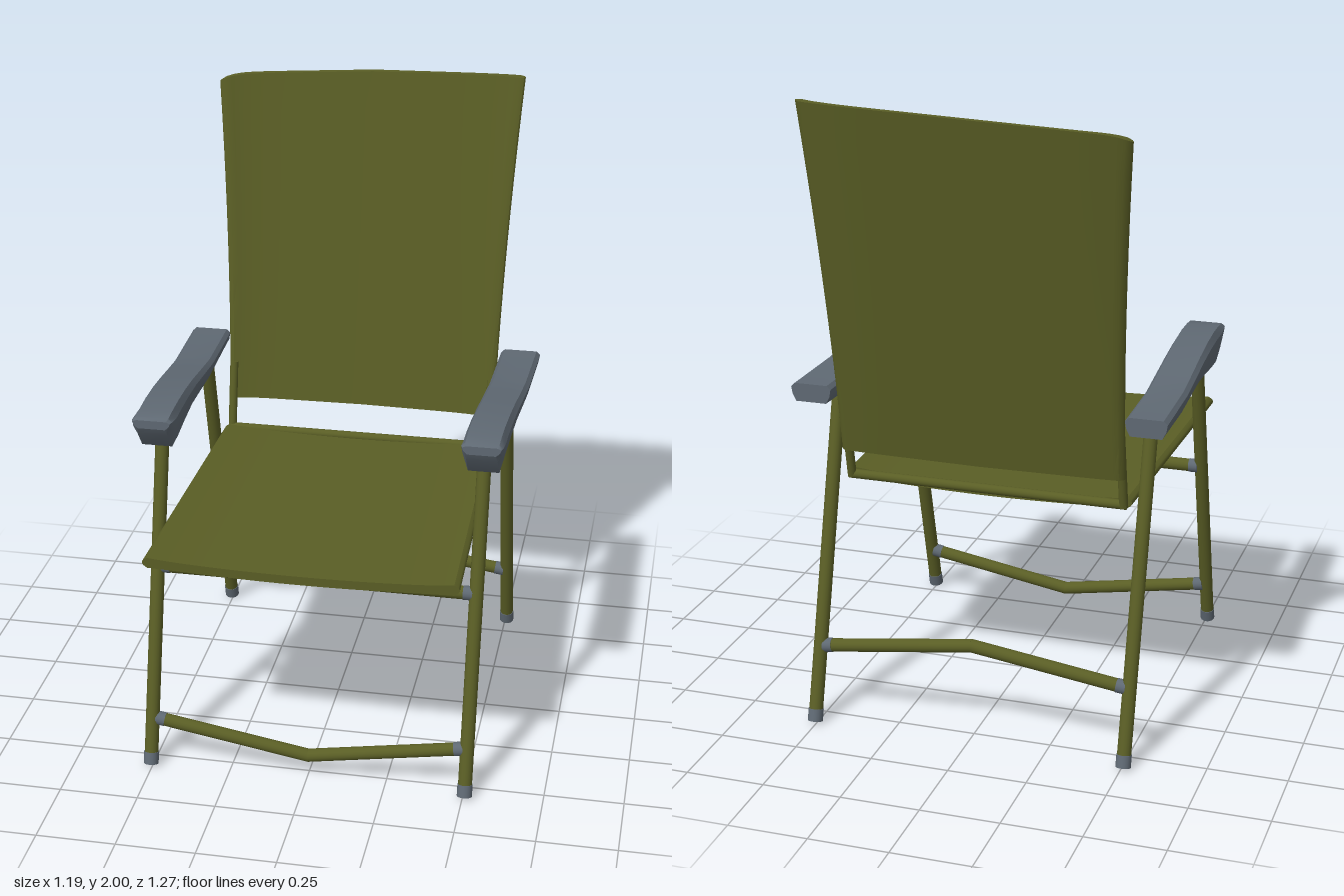
import * as THREE from 'three';
import { toCreasedNormals } from 'three/addons/utils/BufferGeometryUtils.js';

const V = (x, y, z) => new THREE.Vector3(x, y, z);

// Closed solid through a list of equal-length rings, capped at both ends
function loft(rings, crease = 0.6) {
  const n = rings[0].length;
  const pts = rings.flat();
  const idx = [];
  for (let r = 0; r < rings.length - 1; r++) {
    for (let i = 0; i < n; i++) {
      const a = r * n + i, b = r * n + (i + 1) % n;
      idx.push(a, b, b + n, a, b + n, a + n);
    }
  }
  // caps zip the two halves of the ring together
  const last = (rings.length - 1) * n;
  for (let i = 0; i < n / 2 - 1; i++) {
    const j = n - 1 - i;
    idx.push(i, j, j - 1, i, j - 1, i + 1);
    idx.push(last + i, last + j - 1, last + j, last + i, last + i + 1, last + j - 1);
  }
  // make sure the faces point outward
  let volume = 0;
  for (let i = 0; i < idx.length; i += 3) {
    volume += pts[idx[i]].dot(pts[idx[i + 1]].clone().cross(pts[idx[i + 2]]));
  }
  if (volume < 0) idx.reverse();
  const g = new THREE.BufferGeometry().setFromPoints(pts);
  g.setIndex(idx);
  return toCreasedNormals(g.toNonIndexed(), crease);
}

// Ring around a thin sheet: centre(s) for s in -1..1, thickened along dir
function sheetRing(centre, half, dir, steps = 24) {
  const front = [], back = [];
  for (let i = 0; i <= steps; i++) {
    const s = -Math.cos((i / steps) * Math.PI); // denser near the edges
    const h = half(s) * Math.max(0.15, Math.min(1, Math.sqrt((1 - Math.abs(s)) / 0.03)));
    front.push(centre(s).addScaledVector(dir, h));
    back.unshift(centre(s).addScaledVector(dir, -h));
  }
  return [...front, ...back];
}

export function createModel() {
  const group = new THREE.Group();
  const olive = new THREE.MeshStandardMaterial({ color: 0x5a5e25 });
  olive.name = 'olive';
  const grey = new THREE.MeshStandardMaterial({ color: 0x5f6973 });
  grey.name = 'slate grey';

  const add = (name, geometry, material) => {
    const mesh = new THREE.Mesh(geometry, material);
    mesh.name = name;
    group.add(mesh);
    return mesh;
  };
  const rod = (name, a, b, r, material) => {
    const d = b.clone().sub(a);
    const mesh = add(name, new THREE.CylinderGeometry(r, r, d.length(), 16), material);
    mesh.position.copy(a).add(b).multiplyScalar(0.5);
    mesh.quaternion.setFromUnitVectors(V(0, 1, 0), d.normalize());
  };

  // Sagging seat
  const seatRing = (z, w) => sheetRing(
    s => V(w * s, 0.777 - 0.016 * (1 - s * s), z),
    s => 0.014 + 0.004 * Math.abs(s) ** 8, V(0, 1, 0));
  add('seat', loft([seatRing(-0.355, 0.462), seatRing(0.64, 0.485)]), olive);

  // Backrest: leans back, widens upward, bows rearward, uneven top edge
  const topY = s => s > 0 ? 1.985 + 0.015 * s
    : 1.985 + 0.026 * s - 0.019 * Math.abs(s) ** 16;
  const backRings = [];
  for (let i = 0; i <= 10; i++) {
    const t = i / 10;
    const w = 0.455 + 0.049 * t ** 1.7;
    const depth = 0.022 + 0.024 * t;
    backRings.push(sheetRing(s => {
      const y = 0.875 + t * (topY(s) - 0.875);
      const bow = 1 - 0.5 * Math.abs(s) - 0.5 * Math.abs(s) ** 8;
      return V(w * s, y, -0.41 - 0.149 * (y - 0.875) - depth * bow);
    }, s => 0.011 + 0.007 * Math.abs(s) ** 8, V(0, 0, 1)));
  }
  add('backrest', loft(backRings), olive);

  // Rail behind the seat
  rod('rearSeatRail', V(-0.45, 0.777, -0.372), V(0.45, 0.777, -0.372), 0.015, olive);

  // Armrest stations: z, top, bottom, inner x, outer x
  const stations = [
    [-0.472, 1.094, 1.036, 0.466, 0.596],
    [-0.2, 1.096, 1.03, 0.46, 0.589],
    [-0.08, 1.112, 1.038, 0.457, 0.586],
    [0.05, 1.13, 1.044, 0.454, 0.582],
    [0.16, 1.142, 1.038, 0.45, 0.579],
    [0.26, 1.147, 1.028, 0.447, 0.576],
    [0.335, 1.145, 1.025, 0.446, 0.574],
    [0.385, 1.141, 1.085, 0.446, 0.573],
    [0.398, 1.135, 1.108, 0.45, 0.569],
  ];

  for (const side of [-1, 1]) {
    const S = side < 0 ? 'right' : 'left';
    const x = 0.506 * side;

    // Legs with end caps
    for (const [name, foot, top] of [
      ['FrontLeg', 0.56, 0.278], ['BackLeg', -0.58, -0.295],
    ]) {
      const a = V(x, 0, foot), b = V(x, 1.06, top);
      const ankle = a.clone().lerp(b, 0.04);
      rod(S + name, ankle, b, 0.022, olive);
      rod(S + name + 'Cap', a.clone().lerp(b, 0.004), ankle, 0.024, grey);
    }

    // Backrest upright reaching down to the seat
    rod(S + 'BackUpright', V(0.441 * side, 0.77, -0.374), V(0.441 * side, 1.0, -0.42), 0.014, olive);

    // Contoured armrest
    const rings = stations.map(([z, top, bottom, xi, xo]) => {
      const h = top - bottom;
      return [
        [xi + 0.012, top], [xo - 0.012, top], [xo, top - 0.2 * h], [xo - 0.004, top - 0.6 * h],
        [xo - 0.016, bottom], [xi + 0.016, bottom], [xi + 0.004, top - 0.6 * h], [xi, top - 0.2 * h],
      ].map(([px, py]) => V(px * side, py, z));
    });
    // start each ring at the inner shoulder so the caps zip cleanly
    add(S + 'Armrest', loft(rings.map(r => [r[7], ...r.slice(0, 7)]), 0.5), grey);

    // Bent lower stretchers, straight front rail, and their end collars
    for (const [name, yEnd, yMid, z] of [
      ['FrontStretcher', 0.15, 0.066, 0.516],
      ['BackStretcher', 0.24, 0.308, -0.514],
      ['FrontRail', 0.633, 0.633, 0.389],
    ]) {
      const end = V(0.495 * side, yEnd, z), mid = V(0, yMid, z);
      const collar = end.clone().lerp(mid, 0.06);
      rod(S + name, collar, mid, 0.021, olive);
      rod(S + name + 'Collar', end, collar, 0.0225, grey);
      if (side > 0 && yEnd !== yMid) {
        add(name + 'Elbow', new THREE.SphereGeometry(0.021, 16, 10), olive).position.copy(mid);
      }
    }
  }
  return group;
}
